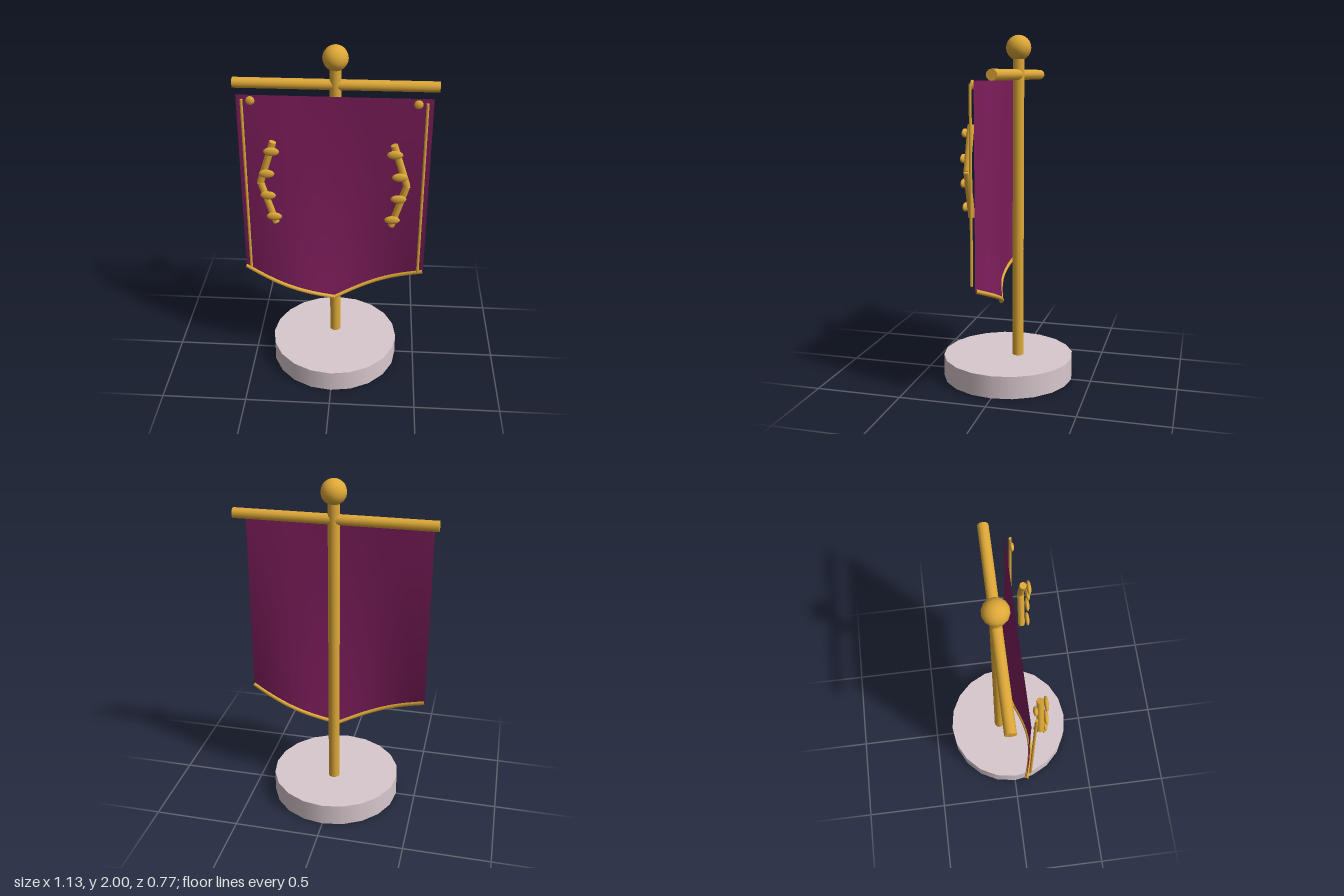
import * as THREE from 'three';

const gold = new THREE.MeshStandardMaterial({ color: 0xdfa938 });
const purple = new THREE.MeshStandardMaterial({ color: 0x7d1d5b, side: THREE.DoubleSide });
const stone = new THREE.MeshStandardMaterial({ color: 0xd8c8ce });

const HALF = 0.53, TOP = 1.75, CLOTH_Z = 0.043, POLE_Z = -0.06;

// Point on the cloth: u runs -1..1 across, t runs 0..1 from top to the pointed hem
function clothPoint(u, t) {
  const bottom = 0.655 - 0.208 * (1 - Math.abs(u));
  return new THREE.Vector3(
    u * HALF,
    TOP + (bottom - TOP) * t,
    CLOTH_Z - 0.055 * t * Math.sin(Math.PI * u)
  );
}

export function createModel() {
  const group = new THREE.Group();

  function add(name, geometry, material, x = 0, y = 0, z = 0) {
    const mesh = new THREE.Mesh(geometry, material);
    mesh.name = name;
    mesh.position.set(x, y, z);
    group.add(mesh);
    return mesh;
  }

  // Stand: round base, pole, finial ball and crossbar
  add('base', new THREE.CylinderGeometry(0.385, 0.385, 0.13, 20), stone, 0, 0.065, 0);
  add('pole', new THREE.CylinderGeometry(0.033, 0.033, 1.78, 14), gold, 0, 1.0, POLE_Z);
  add('finial', new THREE.SphereGeometry(0.071, 14, 12), gold, 0, 1.929, POLE_Z);
  add('crossbar', new THREE.CylinderGeometry(0.03, 0.03, 1.126, 12), gold, 0, 1.78, POLE_Z)
    .rotation.z = Math.PI / 2;

  // Cloth: flat along the top, waving more towards the pointed hem
  const cloth = new THREE.PlaneGeometry(2, 1, 32, 16);
  const pos = cloth.attributes.position;
  for (let i = 0; i < pos.count; i++) {
    const p = clothPoint(pos.getX(i), 0.5 - pos.getY(i));
    pos.setXYZ(i, p.x, p.y, p.z);
  }
  cloth.computeVertexNormals();
  add('cloth', cloth, purple);

  for (const side of [-1, 1]) {
    const label = side > 0 ? 'left' : 'right';

    // Hem cord along one half of the lower edge
    const hemPoints = [];
    for (let i = 0; i <= 12; i++) hemPoints.push(clothPoint(side * i / 12, 1));
    add(label + 'Hem', new THREE.TubeGeometry(new THREE.CatmullRomCurve3(hemPoints), 24, 0.012, 8), gold);

    // Straight trim and corner stud
    add(label + 'Trim', new THREE.CylinderGeometry(0.008, 0.008, 1.065, 8), gold, side * 0.495, 1.203, 0.073);
    add(label + 'Stud', new THREE.SphereGeometry(0.025, 12, 8), gold, side * 0.447, 1.73, 0.075)
      .scale.z = 0.5;

    // Branch bent outwards at the middle
    const bend = new THREE.Vector3(side * 0.405, 1.27, 0.122);
    for (const endY of [1.515, 1.015]) {
      const end = new THREE.Vector3(side * 0.327, endY, 0.122);
      const dir = end.clone().sub(bend);
      const stem = add(label + 'Branch', new THREE.CylinderGeometry(0.02, 0.02, dir.length(), 8), gold);
      stem.position.copy(bend).add(end).multiplyScalar(0.5);
      stem.quaternion.setFromUnitVectors(new THREE.Vector3(0, 1, 0), dir.normalize());
    }

    // Flattened leaves in front of the branch
    for (const [x, y] of [[0.333, 1.472], [0.364, 1.338], [0.361, 1.204], [0.331, 1.07]]) {
      add(label + 'Leaf', new THREE.SphereGeometry(1, 12, 8), gold, side * x, y, 0.155)
        .scale.set(0.044, 0.025, 0.013);
    }
  }

  return group;
}
